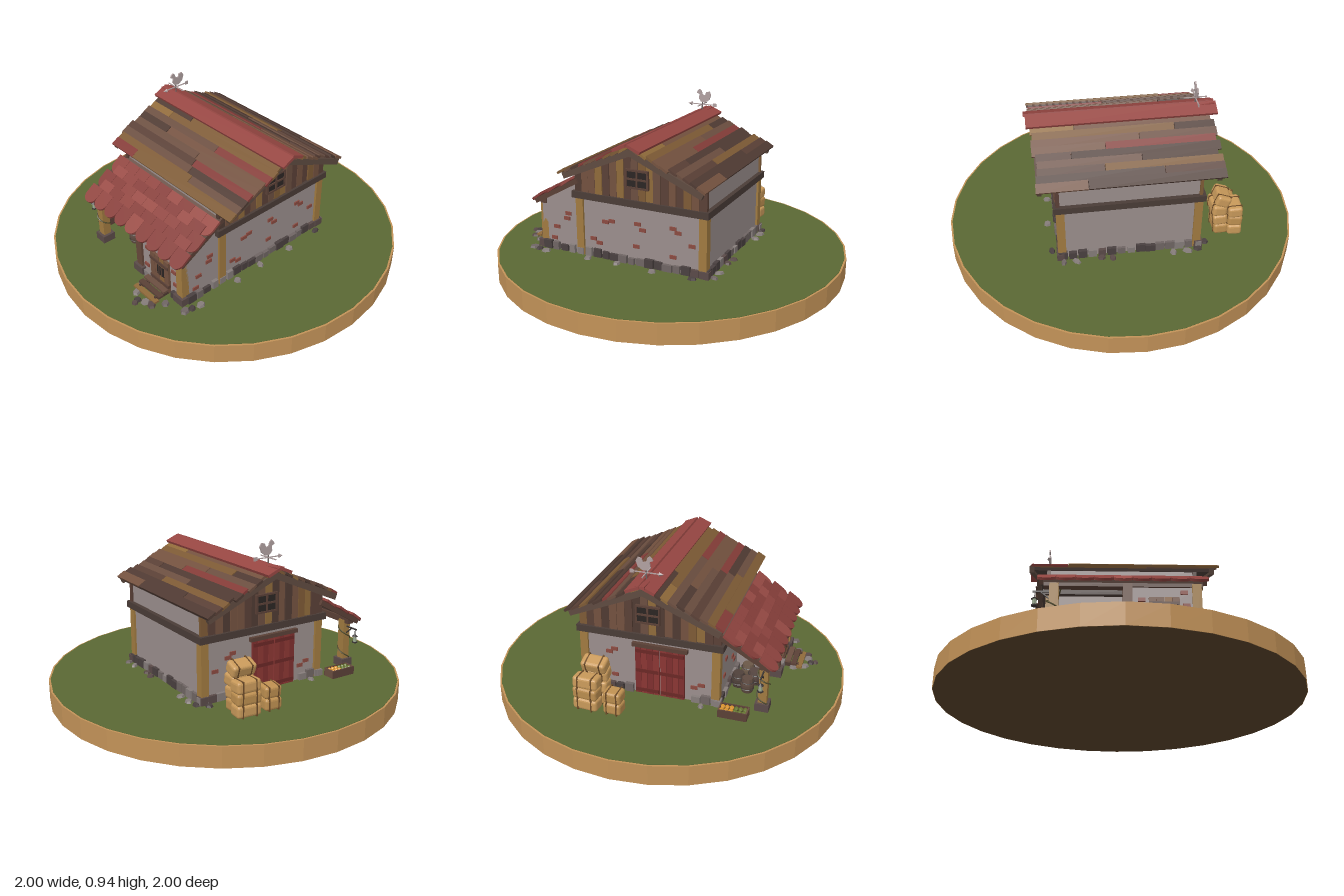
import * as THREE from 'three';
import { RoundedBoxGeometry } from 'three/addons/geometries/RoundedBoxGeometry.js';

const G = 0.115; // ground level
const WOOD = [0x6b4e40, 0x5a4036, 0x8f6a3a, 0x73513f, 0x4f3a32, 0x7d5a35];
const STONE = [0x6f6563, 0x5a4a48, 0x857c7a, 0x4a4040];
const mats = {};
const mat = (c) => (mats[c] ??= new THREE.MeshStandardMaterial({ color: c, flatShading: true, side: THREE.DoubleSide }));
let seed = 7;
const rnd = (a = 0, b = 1) => {
  seed = (seed * 16807) % 2147483647;
  return a + (b - a) * (seed / 2147483647);
};
const pick = (list) => list[Math.floor(rnd(0, list.length))];

function add(parent, name, geo, color, x = 0, y = 0, z = 0, rx = 0, ry = 0, rz = 0) {
  const m = new THREE.Mesh(geo, mat(color));
  m.name = name;
  m.position.set(x, y, z);
  m.rotation.set(rx, ry, rz);
  parent.add(m);
  return m;
}
function box(parent, name, color, w, h, d, x, y, z, rx, ry, rz) {
  return add(parent, name, new THREE.BoxGeometry(w, h, d), color, x, y, z, rx, ry, rz);
}
function group(parent, name, x = 0, y = 0, z = 0, rx = 0, ry = 0, rz = 0) {
  const g = new THREE.Group();
  g.name = name;
  g.position.set(x, y, z);
  g.rotation.set(rx, ry, rz);
  parent.add(g);
  return g;
}
// Side profile given as [z, y] points, swept from x0 to x1
function profile(parent, name, color, pts, x0, x1) {
  const shape = new THREE.Shape(pts.map(([z, y]) => new THREE.Vector2(-z, y)));
  const geo = new THREE.ExtrudeGeometry(shape, { depth: x1 - x0, bevelEnabled: false });
  return add(parent, name, geo, color, x0, 0, 0, 0, Math.PI / 2);
}

function buildBase(root) {
  const base = group(root, 'base');
  add(base, 'soilDisc', new THREE.CylinderGeometry(1, 1, 0.113, 32), 0xc29258, 0, 0.0565, 0);
  add(base, 'grass', new THREE.CylinderGeometry(0.99, 0.99, 0.004, 32), 0x5a6834, 0, 0.113, 0);
  add(base, 'underside', new THREE.CircleGeometry(0.998, 32), 0x57412a, 0, -0.0005, 0, Math.PI / 2);
}

function buildWalls(root) {
  const walls = group(root, 'walls');
  const grey = 0x9a8e8c;
  box(walls, 'mainWalls', grey, 0.77, 0.36, 0.77, 0, 0.29, 0);
  profile(walls, 'upperWalls', grey, [[-0.385, 0.46], [0.385, 0.46], [0.385, 0.6], [0, 0.76], [-0.385, 0.6]], -0.38, 0.38);
  profile(walls, 'leanToWalls', grey, [[0.38, G], [0.625, G], [0.625, 0.4], [0.38, 0.53]], 0.03, 0.385);
  box(walls, 'beltBeam', 0x4a3c37, 0.82, 0.038, 0.82, 0, 0.467, 0);
  // Corner posts
  for (const x of [-0.375, 0.375]) for (const z of [-0.375, 0.37])
    box(walls, 'cornerPost', 0xa07a40, 0.045, 0.34, 0.045, x, 0.285, z);
  // Porch posts on stone feet
  [[-0.338, 0xa07a40], [0.022, 0x66483a], [0.362, 0xa07a40]].forEach(([x, c]) => {
    box(walls, 'porchPost', c, 0.046, 0.27, 0.046, x, 0.26, 0.615);
    box(walls, 'postFoot', 0x5a4a48, 0.075, 0.045, 0.075, x, G + 0.022, 0.615);
  });
  box(walls, 'porchBeam', 0x5a4036, 0.78, 0.035, 0.04, 0, 0.395, 0.615);
  // Vertical gable siding, cut to the roof slope
  const top = (z) => 0.77 - 0.42 * Math.abs(z);
  for (const s of [-1, 1]) {
    for (let i = 0; i < 18; i++) {
      const a = -0.396 + i * 0.044, b = a + 0.042, out = 0.392 + rnd(0, 0.01);
      profile(walls, 'sidingPlank', pick(WOOD), [[a, 0.484], [b, 0.484], [b, top(b)], [a, top(a)]],
        s > 0 ? 0.375 : -out, s > 0 ? out : -0.375);
    }
    // Gable window
    box(walls, 'gableWindow', 0x2b2523, 0.012, 0.09, 0.13, s * 0.402, 0.605, 0);
    for (const z of [-0.063, 0, 0.063]) box(walls, 'windowBar', 0x5a4036, 0.016, 0.1, 0.01, s * 0.406, 0.605, z);
    for (const y of [0.558, 0.605, 0.652]) box(walls, 'windowRail', 0x5a4036, 0.016, 0.01, 0.135, s * 0.406, y, 0);
  }
  // Exposed bricks
  const bricks = [[0.45, 0.34], [0.46, 0.31], [0.53, 0.25], [0.21, 0.33], [0.17, 0.34], [0.01, 0.35], [-0.02, 0.32],
    [-0.23, 0.34], [-0.2, 0.36], [0.29, 0.22], [0.02, 0.22], [-0.2, 0.2], [-0.31, 0.28], [0.55, 0.18], [0.25, 0.2]];
  for (const [z, y] of bricks) {
    box(walls, 'brick', 0x8a4a40, 0.01, 0.02, 0.038, 0.387, y, z);
    if (z < 0.36 && (z < -0.1 || z > 0.22)) box(walls, 'brick', 0x8a4a40, 0.01, 0.02, 0.038, -0.387, y, z);
  }
  for (const [x, y] of [[0.09, 0.31], [0.31, 0.28], [0.32, 0.2], [0.08, 0.19], [0.3, 0.35]])
    box(walls, 'brick', 0x8a4a40, 0.036, 0.02, 0.01, x, y, 0.627);
  for (const [x, y] of [[-0.04, 0.3], [-0.1, 0.26], [-0.25, 0.33], [-0.06, 0.22], [-0.28, 0.24], [-0.13, 0.36]])
    box(walls, 'brick', 0x8a4a40, 0.036, 0.02, 0.01, x, y, 0.387);
  // Foundation stones
  const stone = (x, z, along) => {
    const l = rnd(0.035, 0.055), h = rnd(0.035, 0.05), t = rnd(0.03, 0.045);
    box(walls, 'foundationStone', pick(STONE), along ? l : t, h, along ? t : l, x, G + h / 2, z);
  };
  for (let z = -0.385; z < 0.64; z += 0.054) stone(0.385, z, false);
  for (let z = -0.385; z < 0.39; z += 0.054) if (z < -0.09 || z > 0.21) stone(-0.385, z, false);
  for (let x = -0.385; x < 0.39; x += 0.054) {
    stone(x, -0.385, true);
    if (x > 0.04 && (x < 0.11 || x > 0.29)) stone(x, 0.63, true);
    if (x < 0.02) stone(x, 0.385, true);
  }
}

function buildDoors(root) {
  const d = group(root, 'frontDoor', 0.2, G, 0.632);
  for (let i = 0; i < 4; i++) box(d, 'doorPlank', pick([0x7d5a35, 0x8a623a, 0x73513f]), 0.036, 0.2, 0.014, -0.057 + i * 0.038, 0.105, 0);
  for (const y of [0.045, 0.17]) box(d, 'doorBrace', 0x5a4036, 0.15, 0.018, 0.02, 0, y, 0.003);
  box(d, 'doorWindow', 0x2b2523, 0.055, 0.06, 0.018, 0.01, 0.118, 0);
  for (let i = 0; i < 2; i++) box(d, 'doorBar', 0x5a4036, 0.006, 0.06, 0.022, 0 + i * 0.02, 0.118, 0);
  for (let i = 0; i < 3; i++) box(d, 'step', WOOD[i], 0.17 + i * 0.006, 0.012, 0.03, 0, 0.038 - i * 0.013, 0.035 + i * 0.033);
  for (const s of [-1, 1]) box(d, 'stepSide', 0x4f3a32, 0.012, 0.03, 0.09, s * 0.065, 0.012, 0.05);
  // Red barn doors on the left side
  const b = group(root, 'barnDoors', -0.392, G, 0.06);
  for (const s of [-1, 1]) {
    for (let i = 0; i < 4; i++) box(b, 'barnPlank', i % 2 ? 0x7e2f2e : 0x8a3633, 0.016, 0.285, 0.032, 0, 0.145, s * (0.02 + i * 0.034));
    for (const y of [0.025, 0.145, 0.265]) box(b, 'barnBrace', 0x6a2725, 0.024, 0.02, 0.13, 0, y, s * 0.07);
  }
  box(b, 'barnLintel', 0x5a4036, 0.03, 0.022, 0.31, 0, 0.3, 0);
}

function buildRoof(root) {
  const roof = group(root, 'mainRoof');
  const tilt = 0.405;
  for (const turn of [0, Math.PI]) {
    const side = group(roof, 'roofSide', 0, 0.782, 0, 0, turn);
    const slope = group(side, 'slope', 0, 0, 0, tilt);
    box(slope, 'underBoards', 0x4a3c37, 0.96, 0.016, 0.445, 0, -0.008, 0.222);
    for (const x of [-0.475, 0.475]) box(slope, 'bargeBoard', 0x5e4a40, 0.025, 0.035, 0.45, x, -0.012, 0.225);
    for (let i = 0; i < 10; i++) {
      // Each course is two planks with a staggered joint
      const l = -0.5 + rnd(0, 0.025), r = 0.5 + rnd(-0.02, 0.015), cut = rnd(-0.32, 0.3);
      for (const [a, b] of [[l, cut - 0.002], [cut + 0.002, r]]) {
        const c = rnd() < 0.1 ? 0x843c38 : pick(WOOD);
        box(slope, 'roofPlank', c, b - a, 0.013, 0.053, (a + b) / 2, 0.011 + rnd(0, 0.005), 0.035 + i * 0.044, 0.14);
      }
    }
    box(slope, 'ridgeCap', 0x964642, 1.045, 0.016, 0.08, 0.005, 0.03, 0.03);
  }
  box(roof, 'raisedRidgeEnd', 0x964642, 0.17, 0.014, 0.05, -0.435, 0.806, 0, 0, 0, -0.07);

  // Scalloped porch roof
  const porch = group(root, 'porchRoof', 0, 0.555, 0.38, 0.51);
  box(porch, 'porchBoards', 0x6a5248, 0.79, 0.014, 0.315, 0, -0.006, 0.158);
  const s = new THREE.Shape();
  s.moveTo(-0.046, 0);
  s.lineTo(0.046, 0);
  s.lineTo(0.046, 0.06);
  s.absellipse(0, 0.06, 0.046, 0.045, 0, Math.PI, false);
  s.closePath();
  const tile = new THREE.ExtrudeGeometry(s, { depth: 0.013, bevelEnabled: false, curveSegments: 8 });
  for (let row = 0; row < 5; row++) {
    const odd = row % 2, n = odd ? 8 : 9;
    for (let i = 0; i < n; i++)
      add(porch, 'roofTile', tile, pick([0x8f443f, 0x863e3a, 0x984b45]), (i - (n - 1) / 2) * 0.094, 0.022, 0.025 + row * 0.055, Math.PI / 2 + 0.11);
  }
  for (const x of [-0.4, 0.4]) box(porch, 'porchEdge', 0x5a4036, 0.02, 0.028, 0.32, x, -0.01, 0.16);
}

function buildWeathervane(root) {
  const v = group(root, 'weathervane', -0.415, 0.85, 0);
  const c = 0xb0a0a0;
  add(v, 'pole', new THREE.CylinderGeometry(0.004, 0.004, 0.1, 6), 0x6f6563, 0, -0.02, 0);
  box(v, 'armAlongX', c, 0.13, 0.005, 0.005, 0, 0, 0);
  box(v, 'armAlongZ', c, 0.005, 0.005, 0.16, 0, 0, 0);
  add(v, 'arrowHead', new THREE.ConeGeometry(0.012, 0.025, 4), c, 0, 0, 0.08, Math.PI / 2);
  box(v, 'arrowTail', c, 0.004, 0.02, 0.022, 0, 0, -0.08);
  // Flat rooster outline
  profile(v, 'rooster', c, [[0.008, 0.015], [0.022, 0.035], [0.018, 0.06], [0.036, 0.068], [0.03, 0.08], [0.018, 0.092],
    [0.006, 0.08], [0, 0.06], [-0.018, 0.055], [-0.025, 0.075], [-0.045, 0.08], [-0.056, 0.06], [-0.045, 0.03], [-0.02, 0.012]], -0.004, 0.004);
}

function buildProps(root) {
  // Hay bales with straps
  const hay = group(root, 'hayBales');
  const bales = [[-0.615, 0.035, -0.27, 0], [-0.615, 0.1, -0.27, 0.06], [-0.61, 0.16, -0.27, -0.05], [-0.535, 0.035, -0.25, 0],
    [-0.53, 0.1, -0.25, -0.1], [-0.52, 0.165, -0.25, 0.1], [-0.54, 0.228, -0.25, 0.35], [-0.612, 0.035, -0.12, 0], [-0.608, 0.1, -0.12, 0.08]];
  bales.forEach(([x, y, z, r], i) => {
    const b = group(hay, 'bale', x, G + y, z, 0, rnd(-0.1, 0.1), r);
    const len = i > 6 ? 0.1 : 0.14;
    add(b, 'straw', new RoundedBoxGeometry(0.082, 0.066, len, 2, 0.016), pick([0xc8995a, 0xbd8f50, 0xd0a464]));
    for (const s of [-1, 1]) box(b, 'strap', 0x6b4a28, 0.084, 0.068, 0.007, 0, 0, s * len * 0.28);
  });

  // Barrels under the porch
  const profilePts = [[0, 0], [0.03, 0], [0.038, 0.035], [0.038, 0.05], [0.03, 0.085], [0, 0.085]].map((p) => new THREE.Vector2(...p));
  const barrelGeo = new THREE.LatheGeometry(profilePts, 12);
  [[-0.2, 0.5], [-0.11, 0.52], [-0.05, 0.47], [-0.16, 0.44]].forEach(([x, z], i) => {
    const b = group(root, 'barrel', x, G, z);
    add(b, 'staves', barrelGeo, [0x5e4a40, 0x574640, 0x6b5848, 0x4f403a][i]);
    for (const y of [0.022, 0.063])
      add(b, 'hoop', new THREE.TorusGeometry(0.036, 0.003, 4, 12), 0x3a3534, 0, y, 0, Math.PI / 2);
  });
  add(root, 'sack', new THREE.SphereGeometry(0.035, 8, 6), 0x6f6563, -0.03, G + 0.028, 0.54);

  // Vegetable crate
  const crate = group(root, 'vegetableCrate', -0.455, G, 0.485);
  box(crate, 'crateFloor', 0x3f2f28, 0.07, 0.03, 0.145, 0, 0.016, 0);
  for (const s of [-1, 1]) {
    box(crate, 'crateSide', 0x5a4036, 0.008, 0.045, 0.155, s * 0.034, 0.023, 0);
    box(crate, 'crateEnd', 0x6b4e40, 0.068, 0.045, 0.008, 0, 0.023, s * 0.074);
  }
  for (let i = 0; i < 12; i++)
    add(crate, 'vegetable', new THREE.IcosahedronGeometry(0.014, 0), i < 6 ? 0xd9922a : 0x66752f, (i % 2 ? 1 : -1) * 0.015, 0.036, -0.06 + Math.floor(i / 2) * 0.024);

  // Lantern on a bracket
  const lamp = group(root, 'lantern', -0.432, 0.29, 0.615);
  box(lamp, 'bracket', 0x3a3534, 0.085, 0.007, 0.007, 0.032, 0.065, 0);
  box(lamp, 'bracketBrace', 0x3a3534, 0.065, 0.006, 0.006, 0.05, 0.045, 0, 0, 0, -0.7);
  box(lamp, 'hook', 0x3a3534, 0.003, 0.03, 0.003, 0, 0.05, 0);
  add(lamp, 'lampCap', new THREE.ConeGeometry(0.018, 0.014, 6), 0x3a3534, 0, 0.03, 0);
  add(lamp, 'lampGlass', new THREE.CylinderGeometry(0.011, 0.011, 0.032, 6), 0x9aa890, 0, 0.008, 0);
  add(lamp, 'lampBase', new THREE.CylinderGeometry(0.016, 0.016, 0.007, 6), 0x3a3534, 0, -0.011, 0);

  // Vine winding up the left porch post
  const pts = [];
  for (let i = 0; i < 15; i++) pts.push(new THREE.Vector3(-0.34 + 0.034 * Math.cos(i * 0.9), G + i * 0.018, 0.615 + 0.034 * Math.sin(i * 0.9)));
  add(root, 'vine', new THREE.TubeGeometry(new THREE.CatmullRomCurve3(pts), 50, 0.004, 5), 0x4f4a2c);

  // Loose stones round the house and a short path
  const stones = group(root, 'looseStones');
  const spots = [[0.15, 0.76], [0.2, 0.79], [0.24, 0.77], [0.21, 0.815], [0.28, 0.76], [0.12, 0.7], [0.32, 0.7], [0.44, 0.62], [0.45, 0.57],
    [0.43, 0.66], [0.44, 0.3], [0.43, 0.12], [0.44, -0.1], [0.43, -0.33], [0.37, -0.43], [0.3, -0.43], [0.1, -0.43], [0.16, -0.42],
    [-0.24, -0.43], [-0.32, -0.43], [-0.38, -0.42], [-0.43, 0.3], [-0.43, -0.37]];
  for (const [x, z] of spots) {
    const m = add(stones, 'flatStone', new THREE.CylinderGeometry(0.02, 0.027, 0.014, 6), pick(STONE), x, G + 0.005, z, 0, rnd(0, 3));
    m.scale.set(rnd(0.7, 1.2), 1, rnd(0.6, 1));
  }
}

export function createModel() {
  seed = 7;
  const root = new THREE.Group();
  root.name = 'farmhouse';
  buildBase(root);
  buildWalls(root);
  buildDoors(root);
  buildRoof(root);
  buildWeathervane(root);
  buildProps(root);
  return root;
}
